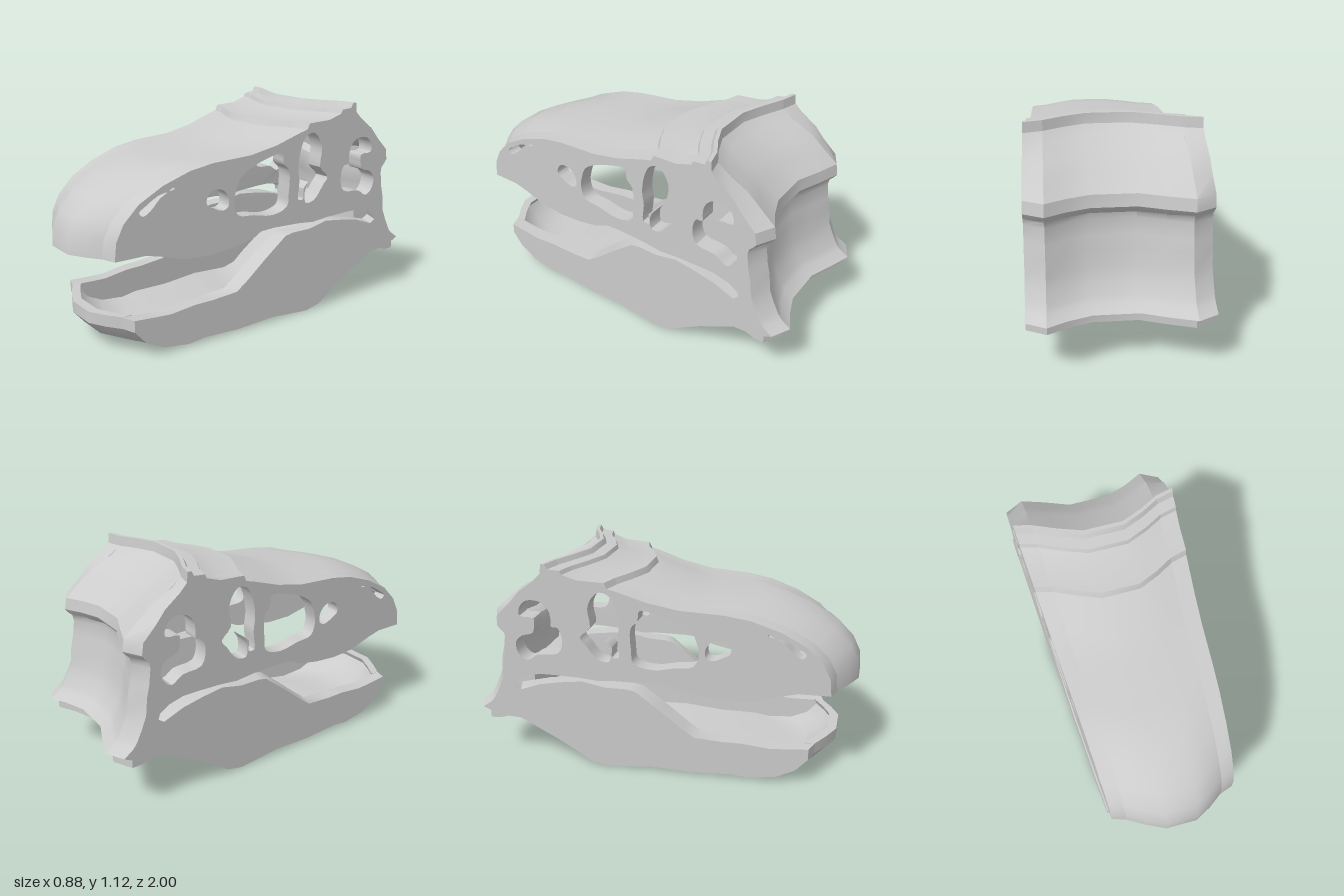
import * as THREE from 'three';
import { toCreasedNormals } from 'three/addons/utils/BufferGeometryUtils.js';

// Side profile in hundredths: pairs of (distance towards the back, height).
// Outer contour: snout, crown, nape, underside of the jaw, chin.
const snoutAndCrown = [-89,52, -88,61, -84,69, -76,77, -63,84, -48,89, -35,91, -13,92, 3,95, 19,100,
  23,101, 24.5,104, 38,104.5, 46,107, 47,109, 53,109.5, 54.5,112, 56.5,112];
const nape = [57,107, 61,103, 69,97, 74,91, 81,84, 82,78, 80.5,76, 78.5,74, 78,71, 79,63, 80.5,57,
  81.5,48, 84,42, 87,36, 89,33.5, 94,30, 90,28, 90,24];
const underside = [85,24, 80,25.5, 73,25, 64,20, 53,14, 42,7, 35,2, 26,0, 13,1, 2,2, -20,1, -41,2,
  -50,1, -64,3, -74,8, -80,15, -80,21];
// Mouth line: lower rim going back, hinge, upper rim going forward
const mouth = [-68,20, -60,19.5, -46,21, -36,21, -21,22, -14,27, -3,36, 10,46, 15,47, 26,47, 38,49.5,
  50,48, 61,46, 72,42, 75,44, 74,47, 69,50, 61,52, 53,52, 39,51.5, 29,50.5, 18,51.5, 2,52, -6,51.5,
  -14,48, -25,46, -38,45, -52,46, -65,50, -73,52];
// Block across the jaw hinge
const hinge = [67,49.5, 67,39, 72,37, 82,37, 80,51, 72,50.5];
// Openings in the side walls
const openings = [
  [-76,73, -72,76, -66,79.5, -61,80.5, -65,78, -70,73, -74,71],
  [-60,81, -57,82.5, -57,81.5],
  [-39,74, -36,77.5, -30,77, -26.5,73, -26.5,68, -30,66.5, -36,69, -39,71],
  [-19.5,81, -14,85, -3,89, 7,90.5, 8,85, 11.5,81, 11.5,69, 10.5,62, 1,59, -11,61, -20.5,62.5, -23,69, -22,75],
  [19,91, 22,97, 27,99, 31,96, 33.5,90, 32.5,80, 38,74, 35,70, 31,64.5, 27.5,62, 23,62, 22.5,69,
    25,73, 21.5,70, 21.5,64.5, 18,64.5, 18.5,74, 17.5,82],
  [54,88, 58,92, 65,92.5, 69,89, 69.5,84, 62,83, 62,79, 63,75, 69,73, 72.5,69, 71.5,63, 67,59.5,
    61,63, 50,64.5, 47.5,71.5, 49.5,78.5, 53,79, 53,83],
];

// Layers across the width, and how far each is pushed forward
const LAYER = [0, 0.11, 0.25, 0.4, 0.65, 0.78, 0.89, 1];
const FRONT_PUSH = [0, 0.024, 0.075, 0.12, 0.12, 0.075, 0.024, 0];
const BACK_PUSH = [0, -0.05, -0.01, 0.04, 0.04, 0, -0.05, 0];

function points(list) {
  const out = [];
  for (let i = 0; i < list.length; i += 2) out.push(new THREE.Vector2(list[i] / 100, list[i + 1] / 100));
  return out;
}

// Rounded closed outline of an opening
function rounded(list) {
  const pts = points(list).map((p) => new THREE.Vector3(p.x, p.y, 0));
  return new THREE.CatmullRomCurve3(pts, true).getPoints(pts.length * 3).slice(0, -1);
}

const key = (x, y) => `${x.toFixed(4)},${y.toFixed(4)}`;

// Extrudes a profile from one layer to another, then tapers and bows it;
// the edges of openings stay straight across the wall
function slab(name, shape, from, to) {
  const straight = new Set(shape.holes.flatMap((h) => h.getPoints().map((p) => key(p.x, p.y))));
  const geo = new THREE.ExtrudeGeometry(shape, { depth: to - from, steps: to - from, bevelEnabled: false });
  const pos = geo.attributes.position;
  for (let i = 0; i < pos.count; i++) {
    const k = from + Math.round(pos.getZ(i));
    const z = -pos.getX(i);
    const left = 0.36 + (0.88 - z) * 0.044;
    const right = -0.29 - (0.88 - z) * 0.082;
    const back = THREE.MathUtils.smoothstep(-z, 0.55, 0.8);
    const push = straight.has(key(-z, pos.getY(i))) ? 0 : THREE.MathUtils.lerp(FRONT_PUSH[k], BACK_PUSH[k], back);
    pos.setXYZ(i, THREE.MathUtils.lerp(right, left, LAYER[k]), pos.getY(i), z + push);
  }
  const mesh = new THREE.Mesh(
    toCreasedNormals(geo, 0.6),
    new THREE.MeshStandardMaterial({ color: 0xcccccc, side: THREE.DoubleSide })
  );
  mesh.name = name;
  return mesh;
}

export function createModel() {
  const group = new THREE.Group();
  group.name = 'dinosaurSkull';

  const outer = points([...snoutAndCrown, ...nape, ...underside]);

  // Side walls with eye, nose and cheek openings
  const side = new THREE.Shape([...outer, ...points(mouth)]);
  side.holes = openings.map((o) => new THREE.Path(rounded(o)));
  group.add(slab('rightSideWall', side, 0, 1));
  group.add(slab('leftSideWall', side, 6, 7));

  // Skin following the outer contour between the walls, thinner at the nape
  const last = outer.length - 1;
  const inner = outer.map((p, i) => {
    if (i === 0 || i === last) return new THREE.Vector2(p.x + 0.05, p.y);
    const skin = p.x > 0.58 && p.y > 0.5 ? 0.025 : 0.05;
    const t = outer[Math.min(last, i + 2)].clone().sub(outer[Math.max(0, i - 2)]).normalize();
    return new THREE.Vector2(p.x + t.y * skin, p.y - t.x * skin);
  });
  group.add(slab('skullAndJawSkin', new THREE.Shape([...outer, ...inner.reverse()]), 1, 6));

  group.add(slab('jawHinge', new THREE.Shape(points(hinge)), 1, 6));
  return group;
}
